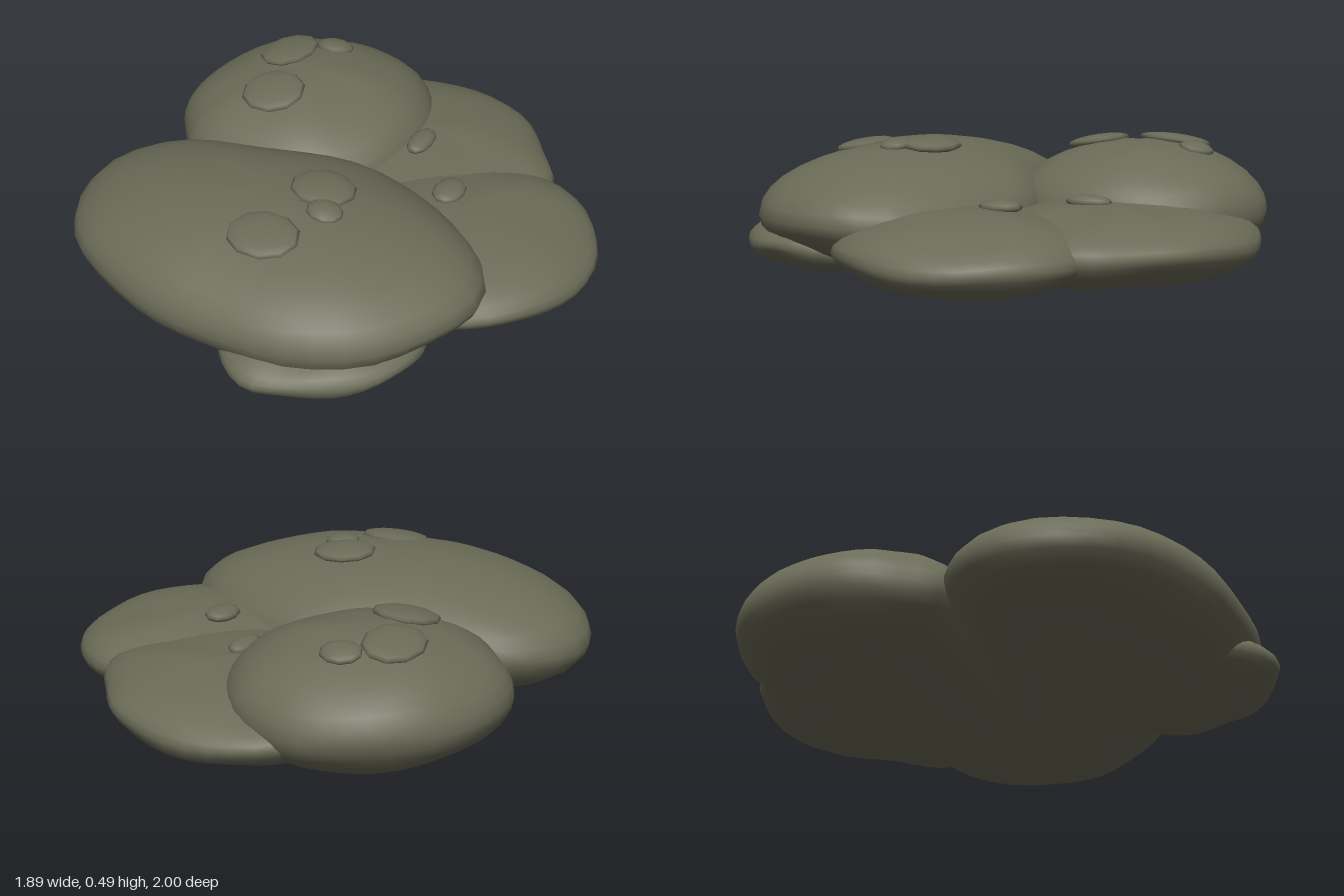
import * as THREE from 'three';

const stoneMat = new THREE.MeshStandardMaterial({ color: 0x6b6b58 });
stoneMat.name = 'mossy grey stone';

// Flattened boulder: a closed plan outline [x, z] domed up to `top` and down to the ground from its rim height
function boulder(name, outline, rim, top, depth, seed) {
  const SIDES = 40, RINGS = 18;
  const curve = new THREE.CatmullRomCurve3(
    outline.map(([x, z]) => new THREE.Vector3(x, 0, z)), true, 'centripetal');
  const edge = curve.getSpacedPoints(SIDES).slice(0, SIDES);
  const c = edge.reduce((s, p) => s.add(p), new THREE.Vector3()).divideScalar(SIDES);
  const pos = [], index = [];
  for (let r = 1; r < RINGS; r++) {
    const a = -Math.PI / 2 + Math.PI * r / RINGS;
    const s = Math.cos(a), h = Math.sin(a);
    edge.forEach((p, i) => {
      const u = i / SIDES * Math.PI * 2;
      // gentle hand-shaped waviness, strongest just inside the rim
      const wave = Math.sin(3 * u + seed) + 0.7 * Math.sin(5 * u + 2 * seed + 3 * a);
      const k = s * (1 - 0.012 * (1 + wave / 1.7) * Math.abs(Math.sin(2 * a)));
      const y = rim + h * (h > 0 ? top - rim : depth) + 0.008 * s * wave;
      pos.push(c.x + (p.x - c.x) * k, Math.max(0.004, y), c.z + (p.z - c.z) * k);
    });
  }
  const south = pos.length / 3, north = south + 1;
  pos.push(c.x, Math.max(0, rim - depth), c.z, c.x, top, c.z);
  for (let i = 0; i < SIDES; i++) {
    const j = (i + 1) % SIDES, last = (RINGS - 2) * SIDES;
    index.push(south, i, j, last + i, north, last + j);
    for (let r = 0; r < RINGS - 2; r++) {
      const a = r * SIDES + i, b = r * SIDES + j;
      index.push(a, a + SIDES, b + SIDES, a, b + SIDES, b);
    }
  }
  const g = new THREE.BufferGeometry();
  g.setAttribute('position', new THREE.Float32BufferAttribute(pos, 3));
  g.setIndex(index);
  g.computeVertexNormals();
  const mesh = new THREE.Mesh(g, stoneMat);
  mesh.name = name;
  return mesh;
}

// Small flat pebble lying on a boulder, tipped by tx and tz
function pebble(x, y, z, rx, rz, tx = 0, tz = 0) {
  const mesh = new THREE.Mesh(new THREE.SphereGeometry(1, 10, 8), stoneMat);
  mesh.name = 'pebble';
  mesh.position.set(x, y, z);
  mesh.scale.set(rx, 0.027, rz);
  mesh.rotation.set(tx, 0, tz);
  return mesh;
}

export function createModel() {
  const group = new THREE.Group();
  group.name = 'rockPile';

  // Two tall boulders
  group.add(boulder('frontBoulder', [
    [0.70, 0.38], [0.60, 0.62], [0.45, 0.80], [0.20, 0.92], [-0.06, 0.935], [-0.40, 0.90],
    [-0.75, 0.74], [-0.90, 0.55], [-0.95, 0.35], [-0.90, 0.18], [-0.75, 0.03], [-0.40, -0.06],
    [0, -0.15], [0.22, -0.11], [0.46, 0.01], [0.64, 0.18]], 0.215, 0.465, 0.245, 1));
  group.add(boulder('backBoulder', [
    [0.08, -0.50], [0.06, -0.28], [0, -0.14], [-0.15, 0.01], [-0.42, 0.06], [-0.70, 0.03],
    [-0.80, -0.08], [-0.89, -0.21], [-0.91, -0.42], [-0.84, -0.64], [-0.73, -0.78],
    [-0.57, -0.88], [-0.38, -0.925], [-0.22, -0.89], [-0.10, -0.83], [0.02, -0.68]], 0.22, 0.465, 0.24, 2.4));

  // Low slabs around them
  group.add(boulder('backSlab', [
    [0.62, -0.42], [0.54, -0.18], [0.30, 0], [0, 0.02], [-0.30, -0.06], [-0.48, -0.30],
    [-0.48, -0.66], [-0.32, -0.91], [-0.18, -0.97], [0, -1], [0.18, -0.97], [0.36, -0.88],
    [0.50, -0.71], [0.61, -0.55]], 0.15, 0.285, 0.165, 3.7));
  group.add(boulder('sideSlab', [
    [0.94, -0.15], [0.925, 0.05], [0.83, 0.24], [0.69, 0.37], [0.48, 0.43], [0.18, 0.36],
    [-0.04, 0.15], [-0.09, -0.15], [0.06, -0.40], [0.35, -0.53], [0.62, -0.54], [0.78, -0.45],
    [0.90, -0.28]], 0.135, 0.285, 0.15, 5));
  group.add(boulder('frontSlab', [
    [0.58, 0.56], [0.52, 0.76], [0.40, 0.88], [0.22, 0.97], [0.10, 1], [-0.03, 0.93],
    [-0.13, 0.75], [-0.12, 0.50], [0.05, 0.32], [0.30, 0.30], [0.50, 0.40]], 0.11, 0.215, 0.12, 0.4));

  // Pebbles on the front boulder, the back boulder and the slabs
  group.add(
    pebble(0.03, 0.462, 0.28, 0.125, 0.115, -0.05, -0.05),
    pebble(0.10, 0.46, 0.40, 0.07, 0.06, 0.05, -0.1),
    pebble(-0.04, 0.44, 0.60, 0.14, 0.115, 0.17, 0),
    pebble(-0.56, 0.452, -0.51, 0.11, 0.145, -0.08, 0.15),
    pebble(-0.42, 0.438, -0.64, 0.078, 0.068, -0.22, 0),
    pebble(-0.47, 0.446, -0.22, 0.128, 0.123, 0.18, 0.06),
    pebble(0.34, 0.287, -0.14, 0.062, 0.083),
    pebble(0.10, 0.287, -0.39, 0.048, 0.09));
  return group;
}
